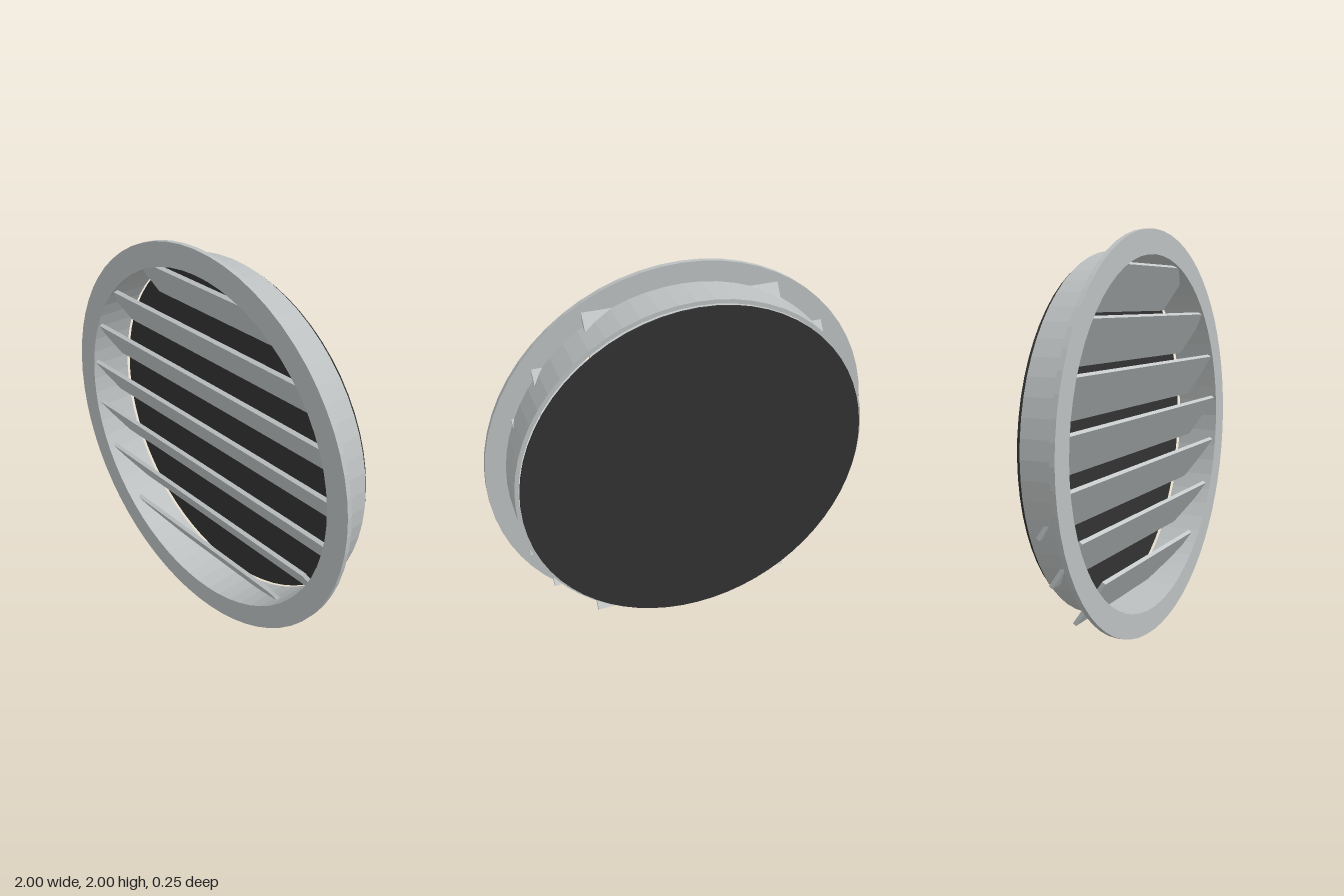
import * as THREE from 'three';

const SEGMENTS = 64;
const INNER = 0.88;

// Hollow ring around the z axis with a rectangular section
function ring(inner, outer, back, front) {
  const profile = [
    [inner, back], [outer, back], [outer, front], [inner, front], [inner, back],
  ].map(([r, z]) => new THREE.Vector2(r, z));
  return new THREE.LatheGeometry(profile, SEGMENTS).rotateX(Math.PI / 2);
}

export function createModel() {
  const frameMetal = new THREE.MeshStandardMaterial({ color: 0xbcc0c0, flatShading: true });
  frameMetal.name = 'frame metal';
  const slatMetal = new THREE.MeshStandardMaterial({ color: 0xc4c8c8, flatShading: true });
  slatMetal.name = 'slat metal';
  const darkScreen = new THREE.MeshStandardMaterial({ color: 0x323232, flatShading: true });
  darkScreen.name = 'dark screen';

  const vent = new THREE.Group();
  vent.name = 'roundVent';
  const add = (name, geometry, material, y, z) => {
    const mesh = new THREE.Mesh(geometry, material);
    mesh.name = name;
    mesh.position.set(0, y, z);
    vent.add(mesh);
    return mesh;
  };

  // Front flange and the duct collar behind it
  add('flange', ring(INNER, 1, 0.1, 0.125), frameMetal, 1, 0);
  add('collar', ring(INNER, 0.9, -0.1, 0.1), frameMetal, 1, 0);

  // Louvre slats, leaning forward at the top, cut to the width of the opening
  for (let i = -3; i <= 3; i++) {
    const offset = i * 0.24;
    const halfWidth = Math.sqrt(INNER ** 2 - (offset + 0.02) ** 2);
    const slat = add('slat' + (i + 4), new THREE.BoxGeometry(2 * halfWidth, 0.267, 0.02),
      slatMetal, 1 + offset, 0.03);
    slat.rotation.x = THREE.MathUtils.degToRad(35);
  }

  // Backing disc, set just clear of the collar
  add('backScreen', new THREE.CylinderGeometry(INNER, INNER, 0.01, SEGMENTS).rotateX(Math.PI / 2),
    darkScreen, 1, -0.12);

  return vent;
}
